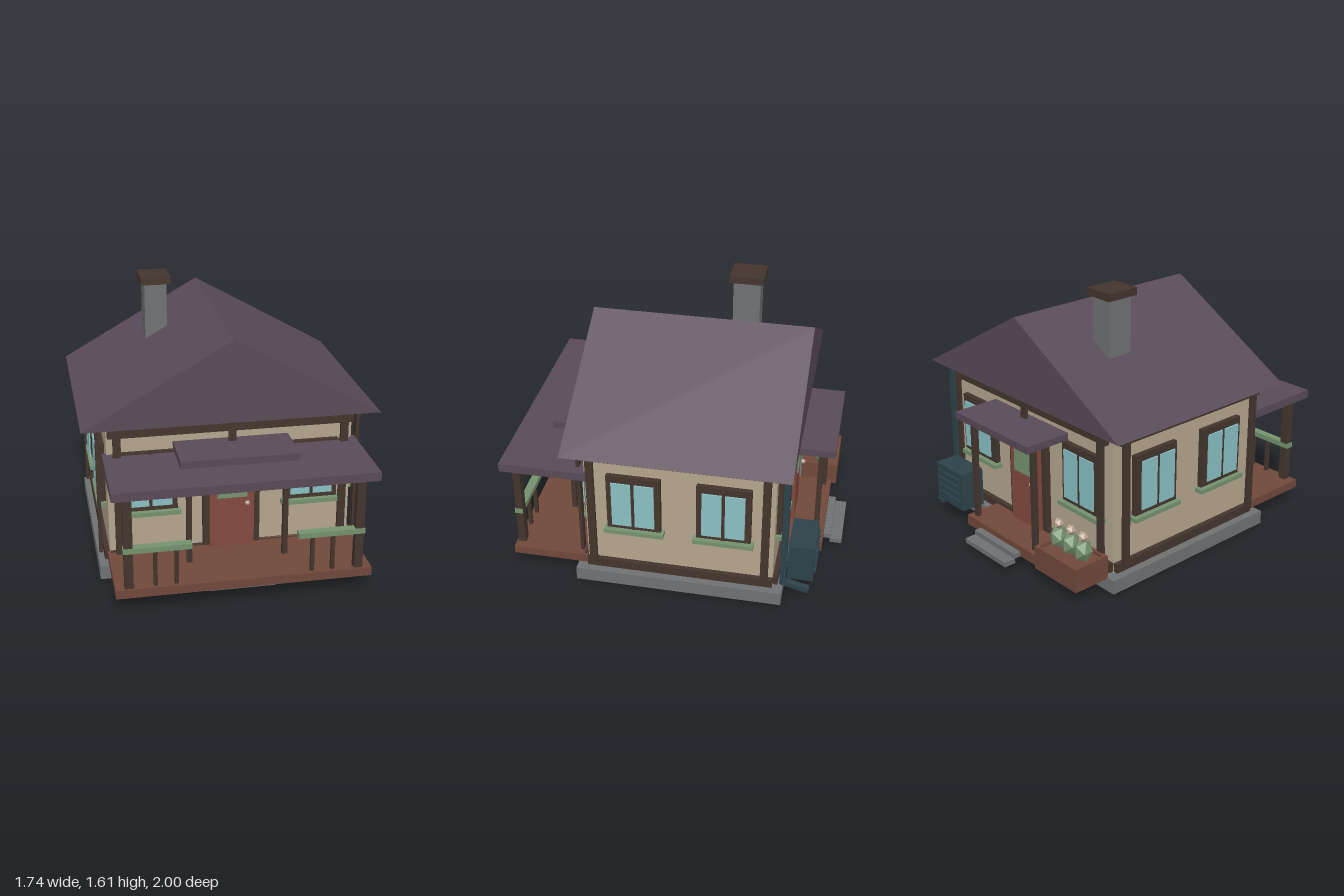
import * as THREE from 'three';

const mat = (name, color) => Object.assign(new THREE.MeshStandardMaterial({ color }), { name });

export function createModel() {
  const house = new THREE.Group();
  house.name = 'cottage';
  const M = {
    roof: mat('plum roof', 0x594a57),
    wall: mat('tan plaster', 0xb4a68e),
    timber: mat('dark timber', 0x44352d),
    door: mat('red door', 0x82483d),
    deck: mat('brown wood', 0x70483a),
    green: mat('sage green', 0x74926e),
    glass: mat('pale blue glass', 0x8ac0c4),
    stone: mat('grey stone', 0x6f7173),
    metal: mat('dark teal metal', 0x2d424a),
    blossom: mat('dusty blossom', 0xb9a48f),
  };
  M.blossom.flatShading = M.green.flatShading = true;

  // Box given by its minimum and maximum on each axis
  const box = (parent, name, m, x0, x1, y0, y1, z0, z1) => {
    const mesh = new THREE.Mesh(new THREE.BoxGeometry(x1 - x0, y1 - y0, z1 - z0), m);
    mesh.position.set((x0 + x1) / 2, (y0 + y1) / 2, (z0 + z1) / 2);
    mesh.name = name;
    parent.add(mesh);
    return mesh;
  };
  const MID = -0.07; // middle of the house body in z
  const HX = 0.725, HZ = 0.56;

  // House body
  box(house, 'foundation', M.stone, -0.79, 0.79, 0, 0.085, MID - 0.62, MID + 0.625);
  box(house, 'walls', M.wall, -HX, HX, 0.085, 0.956, MID - HZ, MID + HZ);

  // Gabled roof
  const gable = new THREE.Shape([[-0.87, 0.955], [0.87, 0.955], [0, 1.45]].map(p => new THREE.Vector2(...p)));
  const roof = new THREE.Mesh(new THREE.ExtrudeGeometry(gable, { depth: 1.32, bevelEnabled: false }), M.roof);
  roof.position.z = -0.73;
  roof.name = 'roof';
  house.add(roof);

  // Chimney
  box(house, 'chimney', M.stone, -0.4, -0.265, 1.0, 1.565, -0.372, -0.208);
  box(house, 'chimneyCap', M.timber, -0.425, -0.24, 1.565, 1.61, -0.395, -0.187);

  // One window on a wall whose outer face is at z = 0
  const addWindow = (parent, x) => {
    const w = new THREE.Group();
    w.name = 'window';
    w.position.x = x;
    parent.add(w);
    box(w, 'windowFrame', M.timber, -0.16, 0.16, 0.41, 0.78, 0, 0.03);
    box(w, 'windowSill', M.green, -0.178, 0.178, 0.38, 0.406, 0, 0.055);
    for (const s of [-1, 1]) {
      box(w, 'windowPane', M.glass, s * 0.068 - 0.058, s * 0.068 + 0.058, 0.445, 0.745, 0.042, 0.05);
    }
    box(w, 'windowMullion', M.timber, -0.01, 0.01, 0.42, 0.77, 0.03, 0.045);
  };

  // A framed wall side: beams, corner posts and two windows
  const facade = (name, angle, out, half, postX, winX) => {
    const g = new THREE.Group();
    g.name = name;
    g.rotation.y = angle;
    g.position.set(Math.sin(angle) * out, 0, MID + Math.cos(angle) * out);
    house.add(g);
    box(g, 'topBeam', M.timber, -half, half, 0.89, 0.945, 0.032, 0.06);
    box(g, 'baseBeam', M.timber, -half, half, 0.095, 0.15, 0, 0.03);
    for (const s of [-1, 1]) {
      box(g, 'cornerPost', M.timber, s * postX - 0.023, s * postX + 0.023, 0.13, 0.955, 0.038, 0.058);
      addWindow(g, s * winX);
    }
    return g;
  };
  facade('rightSide', -Math.PI / 2, HX, HZ, 0.513, 0.265);
  facade('leftSide', Math.PI / 2, HX, HZ, 0.513, 0.265);

  // Entrance with door, canopy, stoop and steps, the same at front and back
  for (const [name, angle] of [['front', 0], ['back', Math.PI]]) {
    const g = facade(name + 'Side', angle, HZ, 0.72, 0.668, 0.48);
    box(g, 'centrePost', M.timber, -0.022, 0.022, 0.7, 0.955, 0.038, 0.058);
    box(g, 'doorFrame', M.timber, -0.17, 0.17, 0.12, 0.76, 0, 0.035);
    box(g, 'door', M.door, -0.132, 0.132, 0.13, 0.72, 0, 0.057);
    box(g, 'doorPanel', M.green, -0.09, 0.09, 0.465, 0.61, 0.057, 0.066);
    const knob = new THREE.Mesh(new THREE.IcosahedronGeometry(0.015, 1), M.blossom);
    knob.position.set(0.087, 0.43, 0.078);
    knob.name = 'doorKnob';
    g.add(knob);
    box(g, 'canopy', M.roof, -0.34, 0.34, 0.782, 0.825, -0.005, 0.295);
    box(g, 'stoop', M.deck, -0.33, 0.33, 0.065, 0.13, 0, 0.255);
    box(g, 'upperStep', M.stone, -0.195, 0.195, 0.065, 0.095, 0.22, 0.3);
    box(g, 'lowerStep', M.stone, -0.195, 0.195, 0.035, 0.065, 0.295, 0.37);
    for (const s of [-1, 1]) {
      box(g, 'canopyPost', M.timber, s * 0.283 - 0.015, s * 0.283 + 0.015, 0.13, 0.782, 0.195, 0.225);
    }
  }

  // Front porch with railings
  const porch = new THREE.Group();
  porch.name = 'porch';
  house.add(porch);
  box(porch, 'porchFloor', M.deck, -0.738, 0.738, 0.098, 0.15, 0.495, 0.957);
  box(porch, 'porchRoof', M.roof, -0.75, 0.75, 0.718, 0.77, 0.47, 1.0);
  for (const s of [-1, 1]) {
    box(porch, 'porchPost', M.timber, s * 0.66 - 0.025, s * 0.66 + 0.025, 0.15, 0.718, 0.9, 0.945);
    box(porch, 'porchRail', M.green, s * 0.497 - 0.193, s * 0.497 + 0.193, 0.37, 0.402, 0.9, 0.95);
    for (const x of [0.39, 0.51]) {
      box(porch, 'baluster', M.timber, s * x - 0.011, s * x + 0.011, 0.15, 0.37, 0.913, 0.935);
    }
  }

  // Planter with three flowering shrubs
  const planter = new THREE.Group();
  planter.name = 'planter';
  house.add(planter);
  box(planter, 'planterBox', M.deck, -0.73, -0.37, 0.075, 0.2, -0.915, -0.68);
  for (const [z0, z1] of [[-0.915, -0.895], [-0.7, -0.68]]) {
    box(planter, 'planterRim', M.deck, -0.73, -0.37, 0.2, 0.22, z0, z1);
  }
  for (const x of [-0.73, -0.39]) {
    box(planter, 'planterRim', M.deck, x, x + 0.02, 0.2, 0.22, -0.895, -0.7);
  }
  for (const x of [-0.652, -0.548, -0.444]) {
    const shrub = new THREE.Mesh(new THREE.IcosahedronGeometry(0.058, 0), M.green);
    shrub.scale.y = 1.25;
    shrub.position.set(x, 0.268, -0.795);
    shrub.name = 'shrub';
    const flower = new THREE.Mesh(new THREE.IcosahedronGeometry(0.033, 0), M.blossom);
    flower.position.set(x, 0.352, -0.795);
    flower.name = 'flower';
    planter.add(shrub, flower);
  }

  // Slatted utility cabinet at the back
  const cabinet = new THREE.Group();
  cabinet.name = 'utilityCabinet';
  house.add(cabinet);
  box(cabinet, 'cabinetBody', M.metal, 0.405, 0.675, 0.115, 0.36, -0.865, -0.71);
  for (let i = 0; i < 4; i++) {
    const y = 0.165 + i * 0.048;
    box(cabinet, 'cabinetSlat', M.metal, 0.43, 0.65, y, y + 0.014, -0.877, -0.865);
  }

  // Downspout with a sloping foot
  box(house, 'downspout', M.metal, 0.68, 0.718, 0.1, 0.955, -0.708, -0.67);
  const foot = box(house, 'downspoutFoot', M.metal, 0.68, 0.718, 0.075, 0.108, -0.845, -0.68);
  foot.rotation.x = -0.25;

  return house;
}
